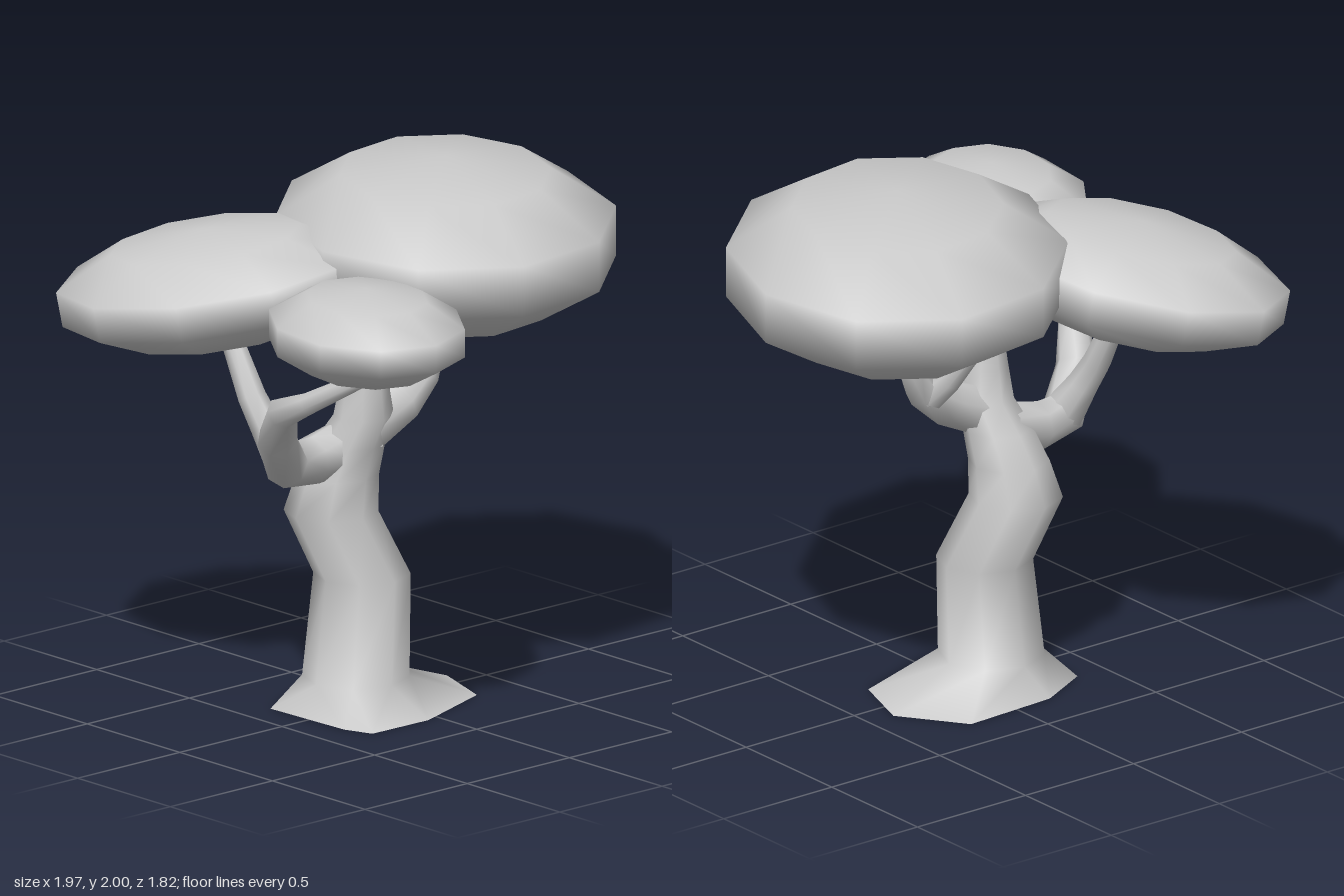
import * as THREE from 'three';

const bark = new THREE.MeshStandardMaterial({ color: 0xcccccc, side: THREE.DoubleSide });
const leaf = new THREE.MeshStandardMaterial({ color: 0xcccccc });

// Smooth skin over a list of rings (arrays of Vector3 of equal length)
function skin(rings, name) {
  const n = rings[0].length;
  const index = [];
  for (let i = 0; i < rings.length - 1; i++) {
    for (let j = 0; j < n; j++) {
      const a = i * n + j, c = i * n + (j + 1) % n;
      index.push(a, a + n, c, a + n, c + n, c);
    }
  }
  const geometry = new THREE.BufferGeometry().setFromPoints(rings.flat());
  geometry.setIndex(index);
  geometry.computeVertexNormals();
  const mesh = new THREE.Mesh(geometry, bark);
  mesh.name = name;
  return mesh;
}

// Ring of n points around a centre, facing a direction
function ring(center, direction, radius, n) {
  const turn = new THREE.Quaternion().setFromUnitVectors(new THREE.Vector3(0, 1, 0), direction);
  return Array.from({ length: n }, (_, j) => {
    const a = (j / n) * Math.PI * 2;
    return new THREE.Vector3(Math.cos(a) * radius, 0, Math.sin(a) * radius)
      .applyQuaternion(turn).add(center);
  });
}

// Tapered limb through stations [x, y, z, radius]
function limb(name, stations) {
  const p = stations.map(([x, y, z]) => new THREE.Vector3(x, y, z));
  const rings = p.map((c, i) => {
    const before = p[Math.max(i - 1, 0)], after = p[Math.min(i + 1, p.length - 1)];
    return ring(c, after.clone().sub(before).normalize(), stations[i][3], 7);
  });
  return skin(rings, name);
}

// Leaf cushion: a coarse sphere stretched along two ground axes and a pole
function canopy(name, center, a, pole, b) {
  const k = 1 / Math.sin(Math.PI * 0.4); // the widest rings sit off the equator
  const axis = v => new THREE.Vector3(...v);
  const matrix = new THREE.Matrix4()
    .makeBasis(axis(a).multiplyScalar(k), axis(pole), axis(b).multiplyScalar(k))
    .setPosition(...center);
  const mesh = new THREE.Mesh(new THREE.SphereGeometry(1, 10, 5).applyMatrix4(matrix), leaf);
  mesh.name = name;
  return mesh;
}

export function createModel() {
  const tree = new THREE.Group();
  tree.name = 'tree';

  // Trunk: uneven root flare, then bent column [x, y, z, radius]
  const flare = [[0.39, -0.09], [0.3, 0.17], [-0.05, 0.295], [-0.32, 0.29],
    [-0.36, 0.18], [-0.375, -0.2], [-0.16, -0.31], [0.22, -0.33]]
    .map(([x, z]) => new THREE.Vector3(x, 0, z));
  const up = new THREE.Vector3(0, 1, 0);
  const column = [
    [-0.107, 0.11, -0.035, 0.195], [-0.075, 0.49, -0.037, 0.177],
    [-0.165, 0.73, -0.105, 0.172], [-0.145, 0.87, -0.09, 0.15],
    [-0.125, 0.99, -0.05, 0.13], [-0.1, 1.1, 0.0, 0.11],
    [-0.115, 1.22, 0.02, 0.09], [-0.11, 1.5, 0.02, 0.055],
  ].map(([x, y, z, r]) => ring(new THREE.Vector3(x, y, z), up, r, 8));
  tree.add(skin([flare, ...column], 'trunk'));

  // Branches
  tree.add(
    limb('leftBranch', [[-0.1, 1.05, 0, 0.1], [0.07, 1.12, 0, 0.09],
      [0.19, 1.2, -0.01, 0.07], [0.255, 1.31, -0.02, 0.05], [0.28, 1.47, -0.04, 0.037]]),
    limb('backTwig', [[0.17, 1.17, -0.02, 0.06], [0.13, 1.25, -0.09, 0.05], [0.08, 1.47, -0.25, 0.035]]),
    limb('rightBranch', [[-0.15, 0.98, -0.06, 0.1], [-0.3, 0.955, -0.06, 0.09],
      [-0.44, 0.965, -0.04, 0.085], [-0.55, 1.1, 0.03, 0.075], [-0.625, 1.24, 0.14, 0.06],
      [-0.64, 1.31, 0.3, 0.042], [-0.6, 1.46, 0.57, 0.03]]),
    limb('rightBackTwig', [[-0.43, 0.98, -0.06, 0.08], [-0.46, 1.1, -0.13, 0.06],
      [-0.475, 1.2, -0.19, 0.053], [-0.48, 1.46, -0.33, 0.038]]),
  );

  // Foliage
  tree.add(
    canopy('mainCanopy', [0.3, 1.695, 0], [0.68, 0, -0.09], [0, 0.305, 0], [-0.07, 0, 0.735]),
    canopy('backCanopy', [-0.495, 1.59, -0.375], [0.485, 0.085, 0.095], [-0.03, 0.21, -0.024], [0.016, 0.06, 0.532]),
    canopy('frontCanopy', [-0.515, 1.59, 0.475], [0.355, 0, -0.14], [0, 0.17, 0], [0.068, 0, 0.4]),
  );
  return tree;
}
